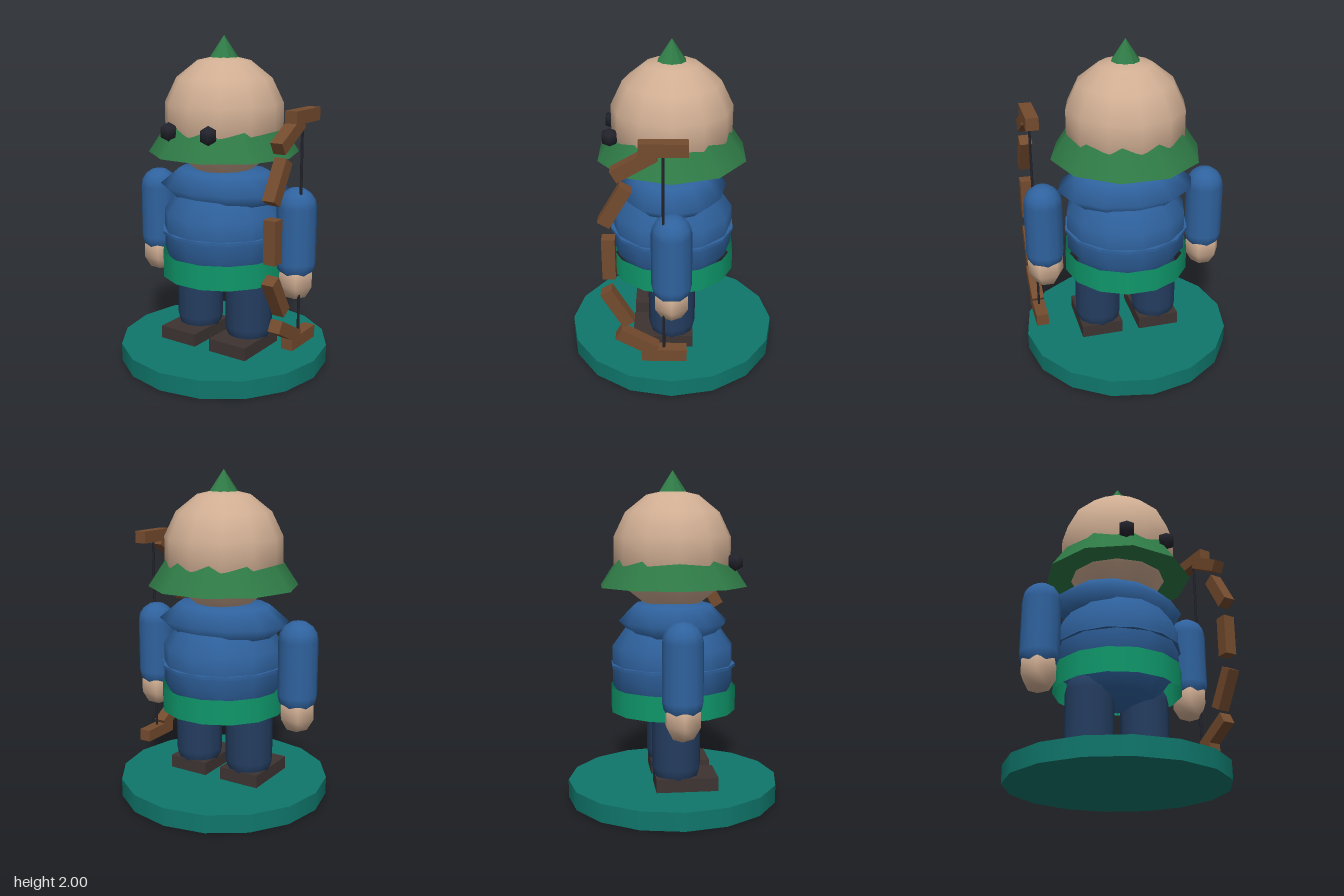
import * as THREE from 'three';

const mat = (name, color, extra = {}) => {
  const m = new THREE.MeshStandardMaterial({ color, ...extra });
  m.name = name;
  return m;
};

export function createModel() {
  const teal = mat('teal', 0x0f766b);
  const skin = mat('skin', 0xd0ae93);
  const blue = mat('tunic blue', 0x2f629e);
  const navy = mat('trouser navy', 0x243d60);
  const shoeBrown = mat('shoe brown', 0x3d3432);
  const hatGreen = mat('hat green', 0x2f7a46);
  const beltGreen = mat('belt green', 0x0f986b, { side: THREE.DoubleSide });
  const wood = mat('wood', 0x744b2e);
  const dark = mat('near black', 0x23232d);

  const model = new THREE.Group();
  model.name = 'archer';
  const add = (name, geo, material, x, y, z, parent = model) => {
    const mesh = new THREE.Mesh(geo, material);
    mesh.name = name;
    mesh.position.set(x, y, z);
    parent.add(mesh);
    return mesh;
  };

  // Round base
  add('base', new THREE.CylinderGeometry(0.65, 0.65, 0.11, 16), teal, 0, 0.055, 0);

  // Torso, waist seam, belt and flattened collar
  add('torso', new THREE.SphereGeometry(0.388, 12, 5), blue, 0, 0.828, 0);
  add('waistSeam', new THREE.CylinderGeometry(0.383, 0.383, 0.018, 14).rotateY(Math.PI / 2), blue, 0, 0.83, 0);
  add('belt', new THREE.CylinderGeometry(0.385, 0.385, 0.15, 14, 1, true).rotateY(Math.PI / 2), beltGreen, 0, 0.625, 0);
  add('collar', new THREE.SphereGeometry(1, 12, 4), blue, 0, 1.1, 0).scale.set(0.42, 0.14, 0.33);

  // Head and a pointed hat whose tip breaks through the crown
  add('head', new THREE.SphereGeometry(0.366, 12, 7), skin, 0, 1.525, 0);
  add('hat', new THREE.ConeGeometry(0.455, 0.69, 10).rotateY(Math.PI / 2), hatGreen, 0, 1.655, 0);

  // Mirrored limbs and eyes
  for (const [side, s] of [['left', 1], ['right', -1]]) {
    add(side + 'Shoe', new THREE.BoxGeometry(0.26, 0.08, 0.37), shoeBrown, s * 0.185, 0.15, 0.055);
    add(side + 'Leg', new THREE.CapsuleGeometry(0.145, 0.28, 4, 12), navy, s * 0.185, 0.38, 0);
    add(side + 'Arm', new THREE.CapsuleGeometry(0.117, 0.33, 4, 12), blue, s * 0.512, 0.87, 0);
    add(side + 'Hand', new THREE.SphereGeometry(0.115, 6, 5), skin, s * 0.512, 0.61, 0).scale.y = 1.22;
    add(side + 'Eye', new THREE.SphereGeometry(0.057, 6, 3), dark, s * 0.14, 1.46, 0.357);
  }

  // Bow: separate straight blocks on an arc, mirrored above and below the grip
  const bow = new THREE.Group();
  bow.name = 'bow';
  bow.position.set(0.562, 0.917, 0);
  model.add(bow);
  const limb = [[0.348, 0], [0.308, 0.325], [0.2, 0.567], [0.043, 0.656]]; // z, y
  limb.forEach(([z, y], i) => {
    for (const s of i ? [1, -1] : [1]) {
      const length = i === 3 ? 0.265 : 0.25;
      const block = add('bowSegment', new THREE.BoxGeometry(0.075, length, 0.075), wood, 0, s * y, z, bow);
      block.rotation.x = -s * i * Math.PI / 6;
    }
  });
  add('bowString', new THREE.CylinderGeometry(0.008, 0.008, 1.25, 6), dark, 0, 0, 0.045, bow);

  return model;
}
